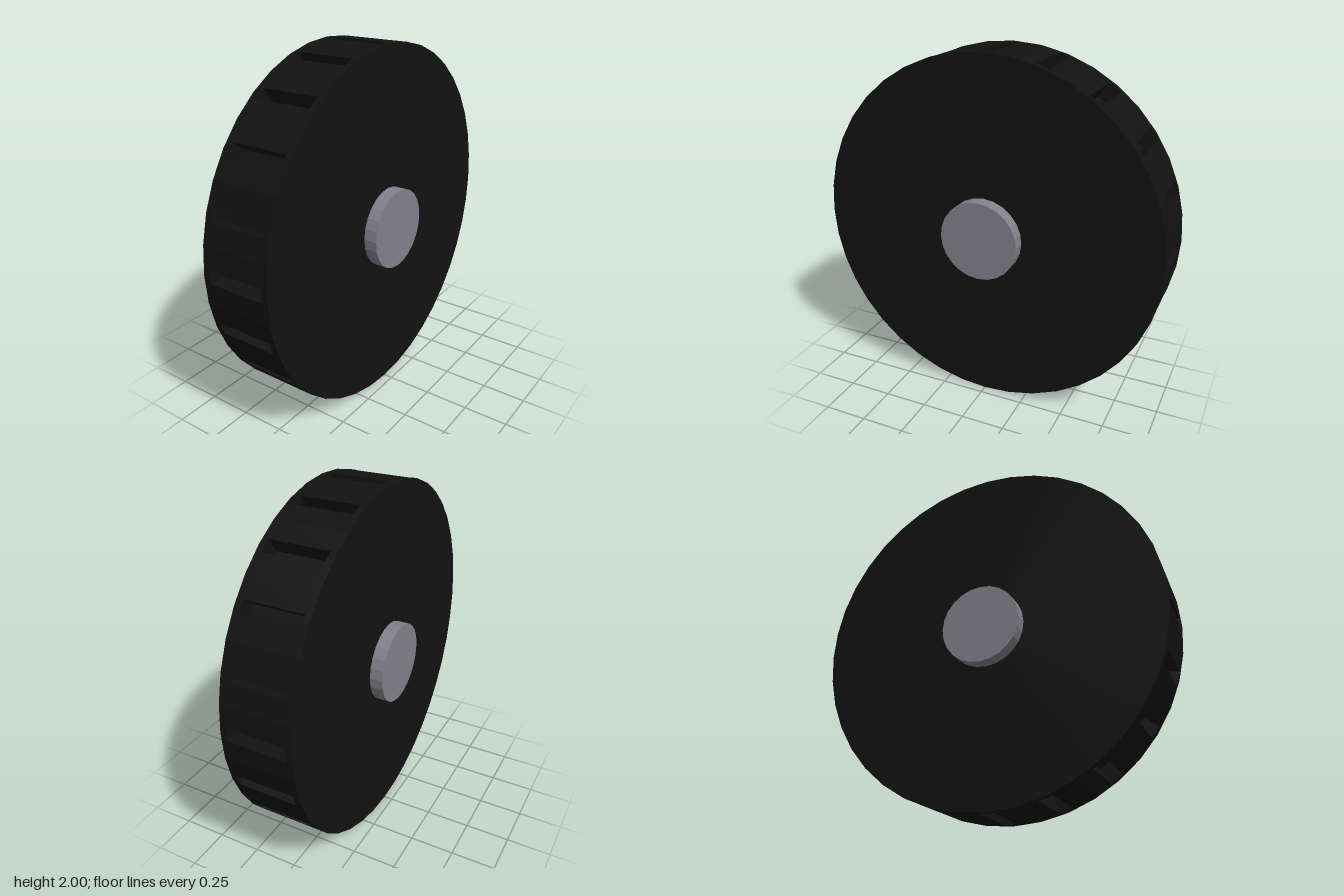
import * as THREE from 'three';

const R = 1, HALF = 0.2;                                        // tyre radius and half width
const SLOTS = 20, SLOT_HALF = 0.165, SLOT_W = 0.075, DEPTH = 0.1; // tread slots
const SIDES = SLOTS * 2;

export function createModel() {
  const rubber = new THREE.MeshStandardMaterial({ color: 0x121212, flatShading: true });
  const slotMat = new THREE.MeshStandardMaterial({ color: 0x121212, flatShading: true, side: THREE.DoubleSide });
  const metal = new THREE.MeshStandardMaterial({ color: 0x82808c, flatShading: true });

  // The wheel is built around z, then turned so its axle lies along x
  const wheel = new THREE.Group();
  wheel.name = 'wheel';
  const add = (name, geometry, material, z = 0) => {
    const mesh = new THREE.Mesh(geometry, material);
    mesh.name = name;
    mesh.position.z = z;
    wheel.add(mesh);
    return mesh;
  };

  // Point at a radial and sideways offset, seen from the given slot
  const polar = (slot, r, t) =>
    new THREE.Vector2(r, t).rotateAround(new THREE.Vector2(), (slot * 2 * Math.PI) / SLOTS);
  const w = SLOT_W / 2;
  const lip = R - w * Math.tan(Math.PI / SIDES);
  const corner = 2 * Math.PI / SIDES;

  // Slotted outline of the tread, and the little end wall of each slot
  const outline = [], ends = [];
  for (let i = 0; i < SLOTS; i++) {
    const pocket = [polar(i, lip, -w), polar(i, R - DEPTH, -w), polar(i, R - DEPTH, w), polar(i, lip, w)];
    outline.push(...pocket, polar(i, R * Math.cos(corner), R * Math.sin(corner)));
    ends.push(new THREE.Shape([...pocket, polar(i, R, 0)]));
  }

  // Tread: the outline swept across the slot width
  const pos = [];
  outline.forEach((p, i) => {
    const q = outline[(i + 1) % outline.length], h = SLOT_HALF;
    pos.push(p.x, p.y, -h, q.x, q.y, -h, q.x, q.y, h);
    pos.push(p.x, p.y, -h, q.x, q.y, h, p.x, p.y, h);
  });
  const tread = new THREE.BufferGeometry();
  tread.setAttribute('position', new THREE.Float32BufferAttribute(pos, 3));
  tread.computeVertexNormals();
  add('tread', tread, rubber);

  // Shoulders beside the slots and the flat side walls
  const band = HALF - SLOT_HALF;
  for (const s of [-1, 1]) {
    const shoulder = new THREE.CylinderGeometry(R, R, band, SIDES, 1, true).rotateX(Math.PI / 2);
    add('shoulder', shoulder, rubber, s * (HALF - band / 2));
    add('slotEnds', new THREE.ShapeGeometry(ends), slotMat, s * SLOT_HALF);
    const disc = add('sideWall', new THREE.CircleGeometry(R, SIDES), rubber, s * HALF);
    if (s < 0) disc.rotation.y = Math.PI;
  }

  // Hub running through the tyre
  add('hub', new THREE.CylinderGeometry(0.225, 0.225, 0.55, 24).rotateX(Math.PI / 2), metal);

  wheel.rotation.y = -Math.PI / 2;
  wheel.position.y = R;
  const model = new THREE.Group();
  model.name = 'wheelModel';
  model.add(wheel);
  return model;
}
